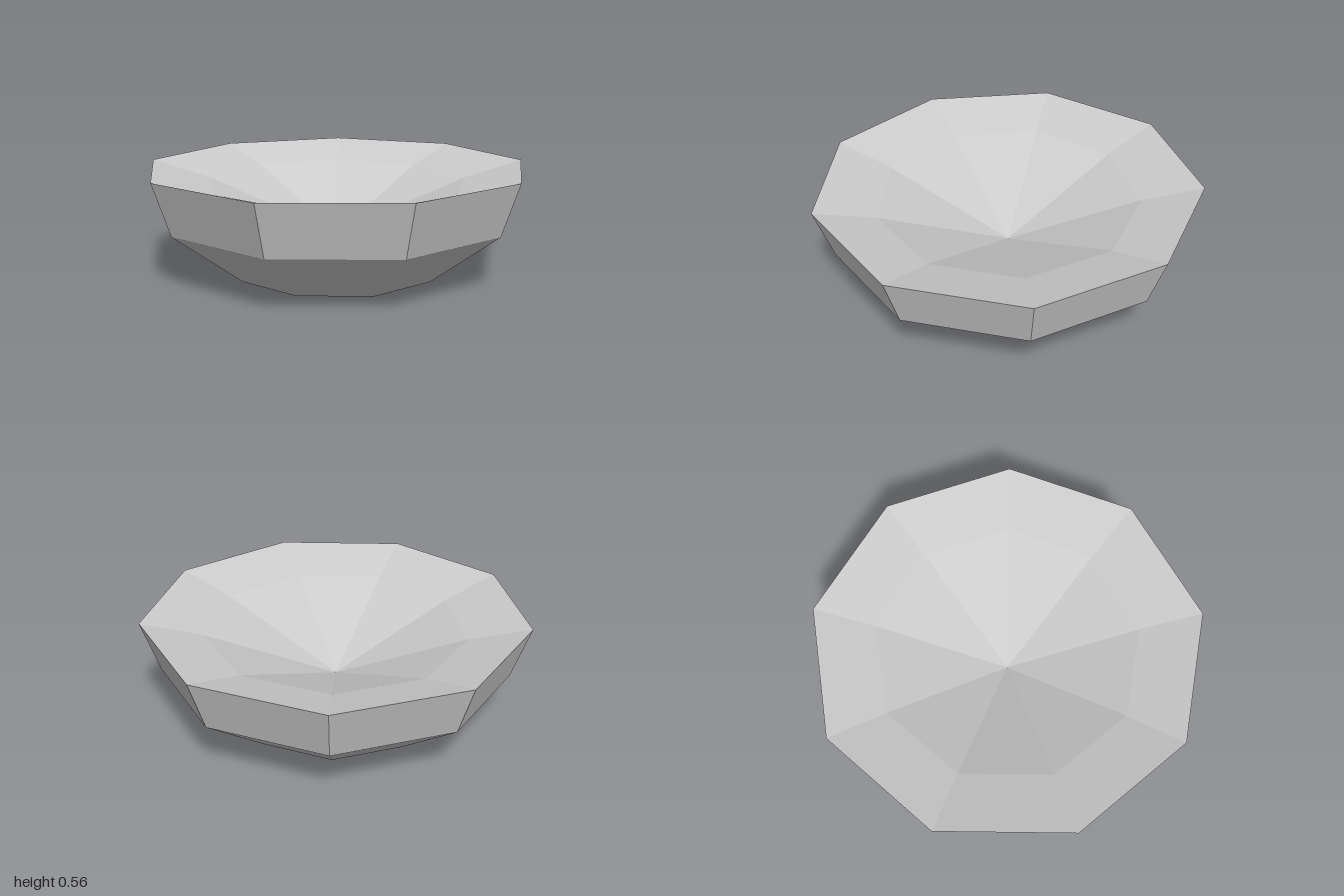
import * as THREE from 'three';

const SIDES = 9;
const CENTRE_Z = 0.03;

// Nine-sided faceted surface swept from [radius, height] pairs, one corner at the back
function facetedRing(name, profile, material) {
  const points = profile.map(([r, y]) => new THREE.Vector2(r, y));
  const geometry = new THREE.LatheGeometry(points, SIDES, Math.PI).toNonIndexed();
  geometry.computeVertexNormals();
  const mesh = new THREE.Mesh(geometry, material);
  mesh.name = name;
  return mesh;
}

export function createModel() {
  const grey = new THREE.MeshStandardMaterial({ color: 0xcccccc });
  grey.name = 'stone grey';

  const bowl = new THREE.Group();
  bowl.name = 'bowl';
  bowl.position.z = CENTRE_Z;

  // Flat base, sloping underside, steeper wall up to the sharp rim
  bowl.add(facetedRing('base', [[0, 0], [0.553, 0]], grey));
  bowl.add(facetedRing('underside', [[0.553, 0], [0.922, 0.28]], grey));
  bowl.add(facetedRing('outerWall', [[0.922, 0.28], [1.015, 0.555]], grey));

  // Shallow inside, falling from the rim to a point in the middle
  bowl.add(facetedRing('innerLip', [[1.015, 0.555], [0.695, 0.467]], grey));
  bowl.add(facetedRing('hollow', [[0.695, 0.467], [0, 0.19]], grey));

  const model = new THREE.Group();
  model.name = 'facetedBowl';
  model.add(bowl);
  return model;
}
